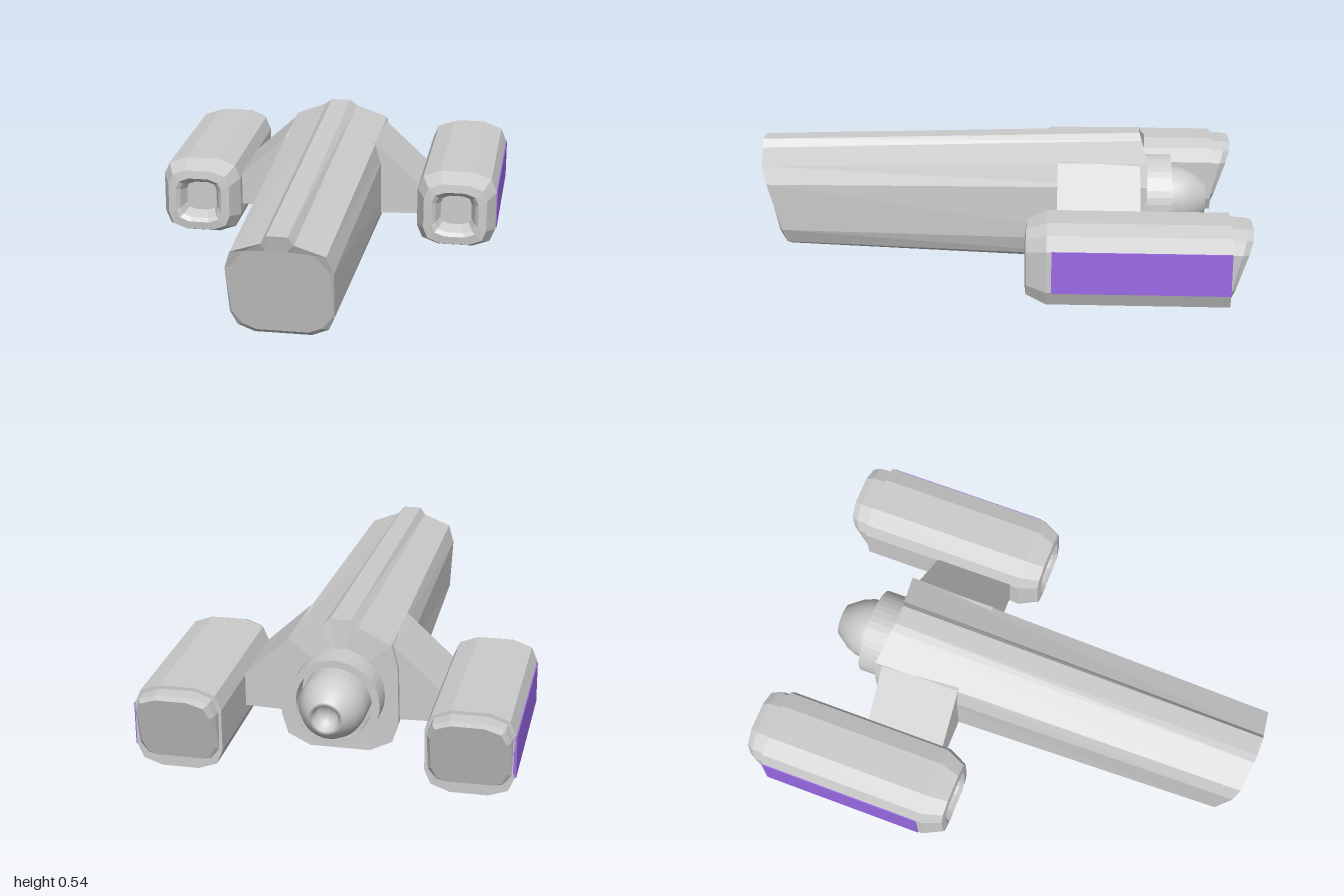
import * as THREE from 'three';

const grey = new THREE.MeshStandardMaterial({ color: 0xcccccc, flatShading: true, side: THREE.DoubleSide });
const smooth = new THREE.MeshStandardMaterial({ color: 0xcccccc, side: THREE.DoubleSide });
const purple = new THREE.MeshStandardMaterial({ color: 0x9a6ae6 });

// Skin between closed rings of [x, y, z], each counter-clockwise seen from +z, back to front
function loft(rings) {
  const pos = [];
  const tri = (...p) => p.forEach((v) => pos.push(...v));
  const centre = (r) => [0, 1, 2].map((k) => r.reduce((s, p) => s + p[k], 0) / r.length);
  const n = rings[0].length;
  const last = rings[rings.length - 1];
  const c0 = centre(rings[0]);
  const c1 = centre(last);
  for (let j = 0; j < n; j++) {
    const k = (j + 1) % n;
    for (let i = 0; i < rings.length - 1; i++) {
      const [a, b, c, d] = [rings[i][j], rings[i][k], rings[i + 1][k], rings[i + 1][j]];
      tri(a, b, c);
      tri(a, c, d);
    }
    tri(c0, rings[0][k], rings[0][j]);
    tri(c1, last[j], last[k]);
  }
  const g = new THREE.BufferGeometry();
  g.setAttribute('position', new THREE.Float32BufferAttribute(pos, 3));
  g.computeVertexNormals();
  return g;
}

function add(parent, name, geometry, material = grey) {
  const m = new THREE.Mesh(geometry, material);
  m.name = name;
  parent.add(m);
  return m;
}

// Mirror the right half of a section (bottom to top) and place it in z by a rule
function mirrored(half, z) {
  const left = half.map(([x, y]) => [-x, y]).reverse();
  return [...half, ...left].map(([x, y]) => [x, y, z(y)]);
}

// Square section with faceted corners
function softSquare(w, h, z, cy = 0) {
  const q = [[1, 0.5], [0.86, 0.84], [0.43, 1]];
  const top = [...q, ...q.map(([x, y]) => [-x, y]).reverse()];
  return [...top, ...top.map(([x, y]) => [-x, -y])].map(([x, y]) => {
    const py = y * h + cy;
    return [x * w, py, typeof z === 'function' ? z(py) : z];
  });
}

function nacelle(side) {
  const g = new THREE.Group();
  g.name = side > 0 ? 'leftNacelle' : 'rightNacelle';
  // casing with a stepped intake in the front
  add(g, 'casing', loft([
    softSquare(0.17, 0.168, -0.91),
    softSquare(0.17, 0.168, -0.2),
    softSquare(0.135, 0.135, -0.12),
    softSquare(0.1, 0.1, -0.115),
    softSquare(0.085, 0.085, -0.13),
    softSquare(0.066, 0.064, -0.18),
  ]));
  // slanted rear cap
  add(g, 'rearCap', loft([
    softSquare(0.142, 0.14, (y) => -0.95 - y * 0.32, 0.005),
    softSquare(0.156, 0.152, (y) => -0.93 - y * 0.25),
    softSquare(0.16, 0.156, -0.89),
  ]));
  // coloured side panel
  const panel = add(g, 'sidePanel', new THREE.BoxGeometry(0.012, 0.17, 0.69), purple);
  panel.position.set(side * 0.168, 0, -0.565);
  g.position.set(side * 0.56, 0.183, 0);
  return g;
}

function pylon(side) {
  // sloped slab from hull to nacelle
  const pts = [[0.18, 0.13], [0.4, 0.137], [0.4, 0.265], [0.2, 0.45], [0.18, 0.45]];
  const shape = new THREE.Shape(pts.map(([x, y]) => new THREE.Vector2(side * x, y)));
  const geo = new THREE.ExtrudeGeometry(shape, { depth: 0.335, bevelEnabled: false });
  geo.translate(0, 0, -0.57);
  return geo;
}

export function createModel() {
  const model = new THREE.Group();
  model.name = 'spacecraft';

  // tapering hull with a raised spine and a leaning nose
  const back = [[0.12, 0], [0.21, 0.045], [0.235, 0.13], [0.23, 0.36], [0.205, 0.453], [0.07, 0.51], [0.042, 0.535]];
  const front = [[0.11, 0.05], [0.175, 0.08], [0.2, 0.14], [0.205, 0.34], [0.18, 0.412], [0.062, 0.455], [0.04, 0.487]];
  const nose = [[0.1, 0.068], [0.15, 0.09], [0.19, 0.14], [0.19, 0.34], [0.13, 0.415], [0.05, 0.42], [0.03, 0.42]];
  add(model, 'hull', loft([
    mirrored(back, (y) => -0.6 + Math.max(0, y - 0.455) * 0.38),
    mirrored(front, (y) => Math.min(1, 0.885 + (y - 0.05) * 0.28)),
    mirrored(nose, (y) => 0.9 + (y - 0.05) * 0.22),
  ]));

  // engine collar, a thick open ring
  const ring = new THREE.Shape().absarc(0, 0, 0.18, 0, Math.PI * 2);
  ring.holes.push(new THREE.Path().absarc(0, 0, 0.15, 0, Math.PI * 2));
  const collar = add(model, 'engineCollar',
    new THREE.ExtrudeGeometry(ring, { depth: 0.12, bevelEnabled: false, curveSegments: 20 }), smooth);
  collar.position.set(0, 0.24, -0.705);

  // domed nozzle with a hollow tip
  const profile = [[0.132, 0], [0.132, 0.11], [0.127, 0.155], [0.108, 0.2], [0.068, 0.255], [0.052, 0.255], [0.04, 0.2], [0, 0.2]];
  const nozzle = add(model, 'engineNozzle',
    new THREE.LatheGeometry(profile.map(([r, h]) => new THREE.Vector2(r, h)), 28), smooth);
  nozzle.rotation.x = -Math.PI / 2;
  nozzle.position.set(0, 0.24, -0.595);

  for (const side of [1, -1]) {
    model.add(nacelle(side));
    add(model, side > 0 ? 'leftPylon' : 'rightPylon', pylon(side));
  }
  return model;
}
